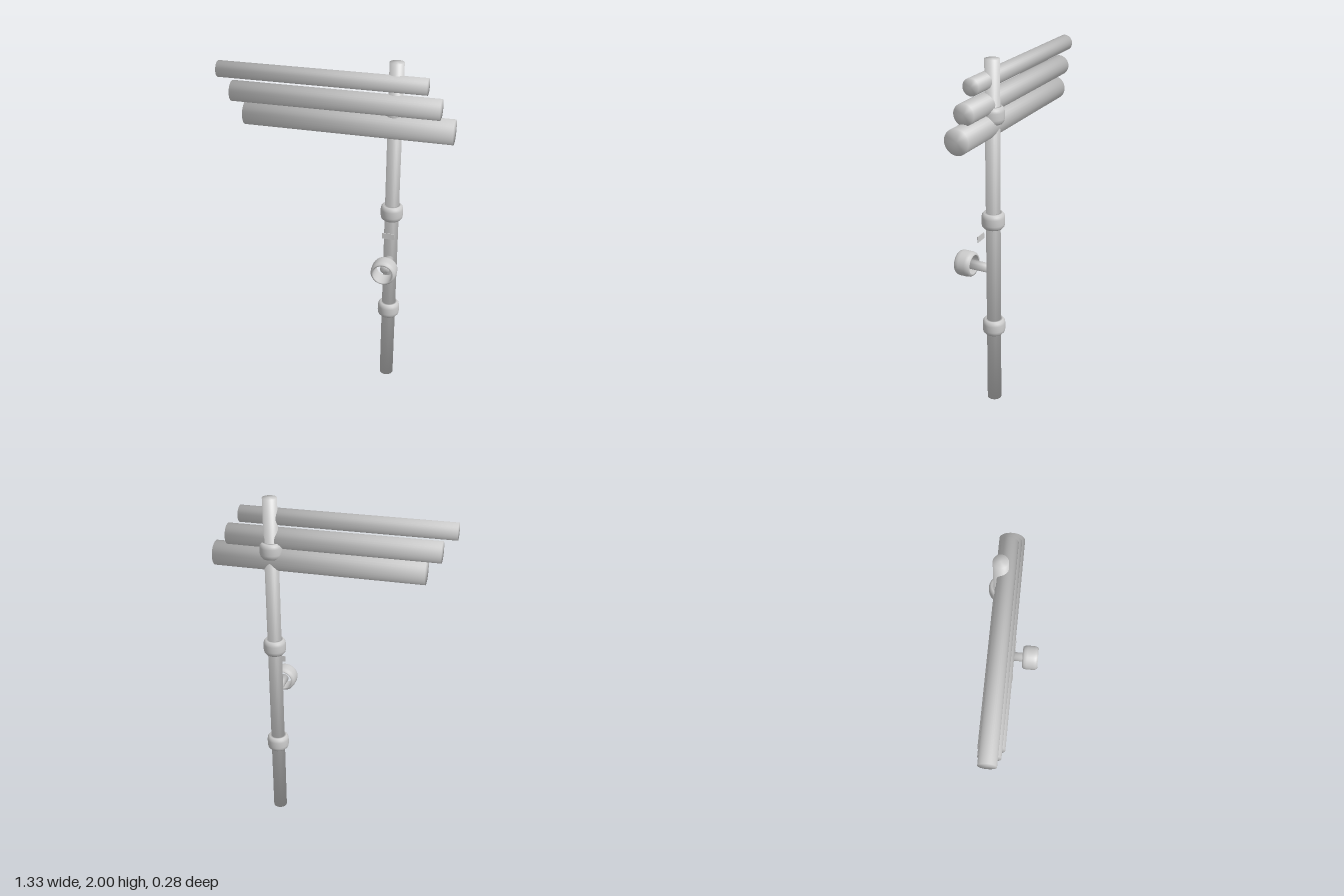
import * as THREE from 'three';

const gray = new THREE.MeshStandardMaterial({ name: 'light gray', color: 0xcccccc });
const grayOpen = gray;
grayOpen.side = THREE.DoubleSide;

const POLE_X = 0.333, POLE_Z = -0.076;

// Capped cylinder along y whose normals blend softly over the rims
function rodGeometry(radius, length) {
  const geo = new THREE.CylinderGeometry(radius, radius, length, 32);
  const pos = geo.attributes.position, nor = geo.attributes.normal;
  const n = new THREE.Vector3();
  for (let i = 0; i < pos.count; i++) {
    n.set(pos.getX(i) / radius, Math.sign(pos.getY(i)), pos.getZ(i) / radius).normalize();
    nor.setXYZ(i, n.x, n.y, n.z);
  }
  return geo;
}

// Barrel-shaped ring around y, with a straight bore
function ringGeometry(bore, rim, belly, half) {
  const mid = rim + (belly - rim) * 0.75;
  const points = [
    [bore, -half], [rim, -half], [mid, -half * 0.75], [belly, -half * 0.4],
    [belly, half * 0.4], [mid, half * 0.75], [rim, half], [bore, half], [bore, -half],
  ].map(([x, y]) => new THREE.Vector2(x, y));
  return new THREE.LatheGeometry(points, 32);
}

export function createModel() {
  const model = new THREE.Group();
  const add = (name, geo, x, y, z) => {
    const mesh = new THREE.Mesh(geo, gray);
    mesh.name = name;
    mesh.position.set(x, y, z);
    model.add(mesh);
    return mesh;
  };

  // Upright pole with its three collars
  add('pole', rodGeometry(0.04, 2), POLE_X, 1, POLE_Z);
  for (const y of [0.475, 1.123, 1.71]) {
    add('collar', ringGeometry(0.038, 0.051, 0.064, 0.045), POLE_X, y, POLE_Z);
  }

  // Three staggered horizontal tubes, thinnest on top
  const tubes = [
    { name: 'upperTube', r: 0.046, x: -0.078, y: 1.89 },
    { name: 'middleTube', r: 0.058, x: -0.002, y: 1.77 },
    { name: 'lowerTube', r: 0.069, x: 0.075, y: 1.652 },
  ];
  for (const t of tubes) {
    add(t.name, rodGeometry(t.r, 1.175), t.x, t.y, -0.048).rotation.z = Math.PI / 2;
  }

  // Side knob: short stem entering an open ring
  add('knobStem', rodGeometry(0.027, 0.13), POLE_X, 0.827, 0.015).rotation.x = Math.PI / 2;
  add('knobRing', ringGeometry(0.055, 0.063, 0.073, 0.047), POLE_X, 0.827, 0.093).rotation.x = Math.PI / 2;

  // Small thin tab standing off the pole
  add('tab', new THREE.BoxGeometry(0.074, 0.035, 0.004), POLE_X, 1.002, 0.002);

  return model;
}
